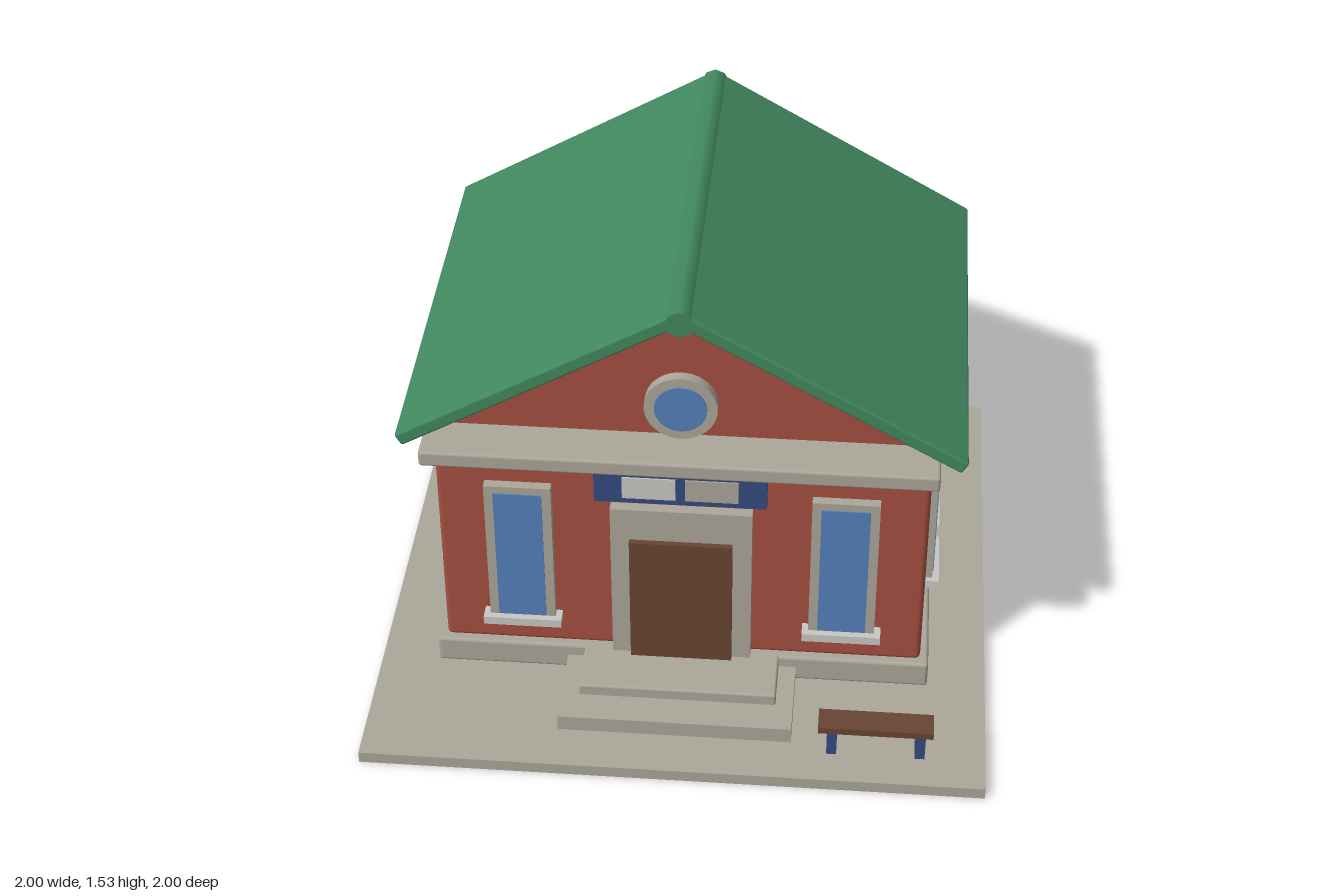
import * as THREE from 'three';
import { RoundedBoxGeometry } from 'three/addons/geometries/RoundedBoxGeometry.js';

const mat = (name, color) => {
  const m = new THREE.MeshStandardMaterial({ color });
  m.name = name;
  return m;
};

export function createModel() {
  const brick = mat('red brick', 0xa54e42);
  const stone = mat('stone', 0xaba699);
  const paleStone = mat('pale stone', 0xc8c7c3);
  const green = mat('green roof', 0x41885f);
  const glass = mat('window glass', 0x5580ba);
  const wood = mat('brown wood', 0x684533);
  const blue = mat('dark blue paint', 0x344a80);

  const model = new THREE.Group();
  model.name = 'smallHall';

  const add = (parent, name, geometry, material) => {
    const mesh = new THREE.Mesh(geometry, material);
    mesh.name = name;
    parent.add(mesh);
    return mesh;
  };

  // Box given by its limits on each axis; r > 0 softens the edges
  const box = (parent, name, material, [x0, x1], [y0, y1], [z0, z1], r = 0) => {
    const s = [x1 - x0, y1 - y0, z1 - z0];
    const geometry = r ? new RoundedBoxGeometry(...s, 2, r) : new THREE.BoxGeometry(...s);
    const mesh = add(parent, name, geometry, material);
    mesh.position.set((x0 + x1) / 2, (y0 + y1) / 2, (z0 + z1) / 2);
    return mesh;
  };

  // Ground slab, plinth and steps
  box(model, 'groundSlab', stone, [-1, 1], [0, 0.04], [-1, 1]);
  box(model, 'plinth', stone, [-0.81, 0.81], [0.04, 0.136], [-0.8, 0.545], 0.012);
  box(model, 'upperStep', stone, [-0.32, 0.32], [0.04, 0.135], [0.5, 0.73], 0.008);
  box(model, 'lowerStep', stone, [-0.377, 0.377], [0.04, 0.095], [0.5, 0.84]);

  // Walls, cornice and gable
  box(model, 'walls', brick, [-0.782, 0.782], [0.13, 1.0], [-0.775, 0.518], 0.018);
  box(model, 'cornice', stone, [-0.802, 0.802], [0.96, 1.015], [-0.66, 0.668], 0.01);
  const triangle = new THREE.Shape([
    new THREE.Vector2(-0.78, 0.99), new THREE.Vector2(0.78, 0.99), new THREE.Vector2(0, 1.475),
  ]);
  add(model, 'gable', new THREE.ExtrudeGeometry(triangle, { depth: 1.2, bevelEnabled: false }), brick)
    .position.z = -0.69;

  // Roof: two sloping slabs and a ridge pole
  const roof = new THREE.Group();
  roof.name = 'roof';
  model.add(roof);
  const pitch = Math.PI / 6, length = 1.01, thick = 0.045, roofZ = -0.13, depth = 1.445;
  for (const side of [-1, 1]) {
    const slab = add(roof, side > 0 ? 'leftRoofSlab' : 'rightRoofSlab',
      new RoundedBoxGeometry(length, thick, depth, 2, 0.008), green);
    slab.rotation.z = -side * pitch;
    slab.position.set(
      side * (length / 2 * Math.cos(pitch) - thick / 2 * Math.sin(pitch) + 0.014),
      1.521 - length / 2 * Math.sin(pitch) - thick / 2 * Math.cos(pitch), roofZ);
  }
  const ridge = add(roof, 'ridgePole', new THREE.CylinderGeometry(0.045, 0.045, depth, 8), green);
  ridge.rotation.x = Math.PI / 2;
  ridge.position.set(0, 1.485, roofZ);

  // Window facing +z, with its back on the wall at z = 0
  const makeWindow = (name, width, glassWidth, sillWidth) => {
    const g = new THREE.Group();
    g.name = name;
    const span = (w) => [-w / 2, w / 2];
    box(g, 'windowFrame', stone, span(width), [0.25, 0.798], [-0.01, 0.032]);
    box(g, 'windowPane', glass, span(glassWidth), [0.27, 0.772], [0.03, 0.036]);
    box(g, 'windowSill', paleStone, span(sillWidth), [0.236, 0.266], [-0.01, 0.054]);
    model.add(g);
    return g;
  };
  for (const side of [-1, 1]) {
    const label = side > 0 ? 'left' : 'right';
    makeWindow(`${label}FrontWindow`, 0.214, 0.155, 0.255).position.set(side * 0.52, 0, 0.518);
    [0.16, -0.127, -0.417].forEach((z, i) => {
      const w = makeWindow(`${label}SideWindow${i + 1}`, 0.194, 0.135, 0.232);
      w.rotation.y = side * Math.PI / 2;
      w.position.set(side * 0.781, 0, z);
    });
  }

  // Round gable window
  const disc = (name, radius, z0, z1, material) => {
    const d = add(model, name, new THREE.CylinderGeometry(radius, radius, z1 - z0, 40), material);
    d.rotation.x = Math.PI / 2;
    d.position.set(0, 1.138, (z0 + z1) / 2);
  };
  disc('roundWindowFrame', 0.114, 0.5, 0.545, stone);
  disc('roundWindowPane', 0.082, 0.543, 0.55, glass);

  // Entrance
  box(model, 'doorSurround', stone, [-0.226, 0.226], [0.13, 0.735], [0.5, 0.555]);
  box(model, 'door', wood, [-0.165, 0.165], [0.135, 0.615], [0.55, 0.574]);

  // Sign board with two blank panels
  box(model, 'signBoard', blue, [-0.272, 0.272], [0.782, 0.91], [0.543, 0.574]);
  box(model, 'palePanel', paleStone, [-0.183, -0.015], [0.803, 0.884], [0.572, 0.579]);
  box(model, 'stonePanel', stone, [0.015, 0.183], [0.803, 0.884], [0.572, 0.579]);

  // Bench
  const bench = new THREE.Group();
  bench.name = 'bench';
  model.add(bench);
  box(bench, 'benchSeat', wood, [0.463, 0.83], [0.13, 0.154], [0.796, 0.884]);
  for (const x of [0.508, 0.79])
    box(bench, 'benchLeg', blue, [x - 0.016, x + 0.016], [0.04, 0.13], [0.803, 0.882]);

  return model;
}
